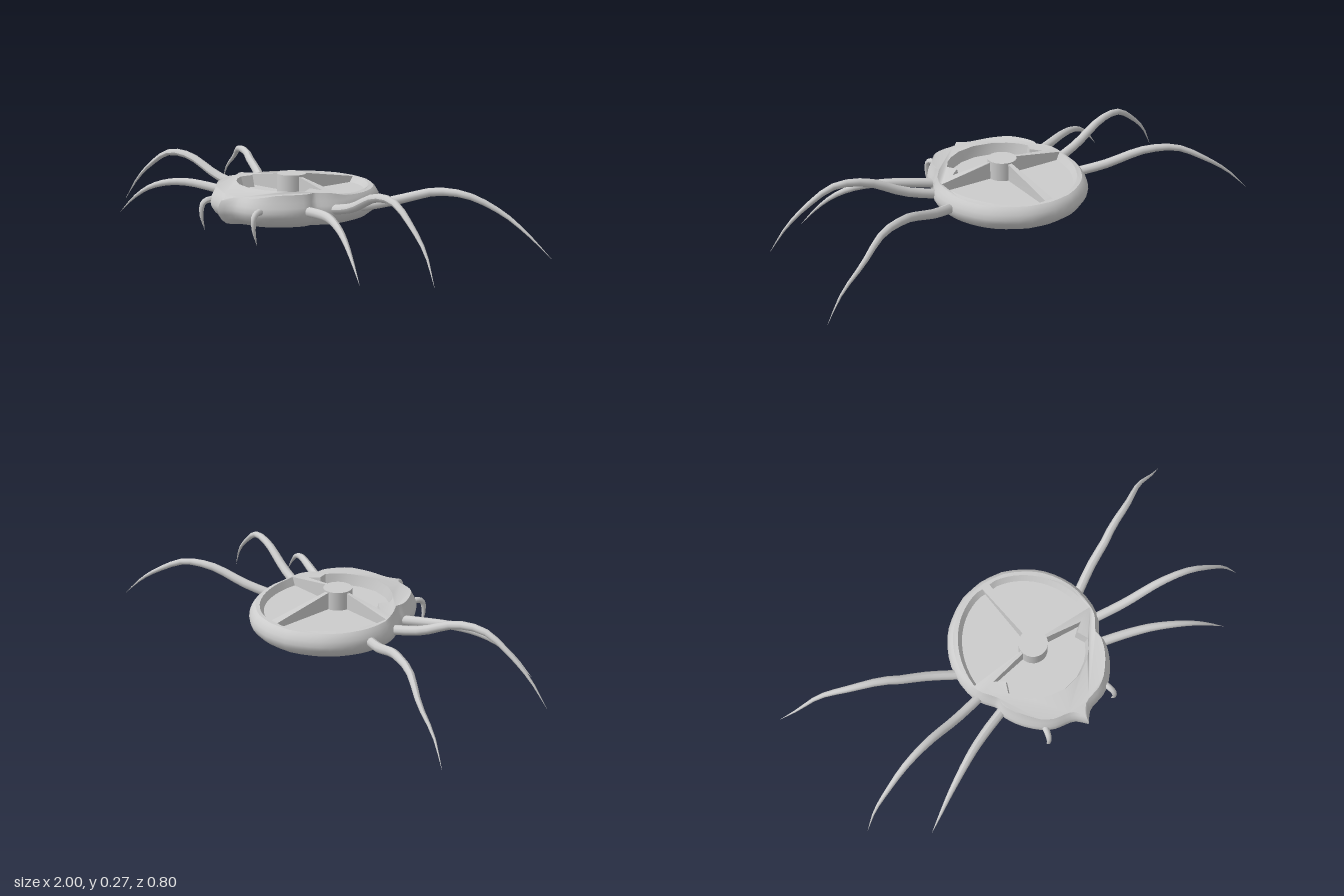
import * as THREE from 'three';
import { toCreasedNormals } from 'three/addons/utils/BufferGeometryUtils.js';

const material = new THREE.MeshStandardMaterial({ color: 0xcccccc });
const HUB = { z: 0.015, r: 0.06 };
const FLOOR = 0.163;
const clamp = THREE.MathUtils.clamp;
const v2 = (x, z) => new THREE.Vector2(x, z);

// Height of the upper shell: rises towards the hub, dips at the nose and rear
function topY(x, z) {
  const d = Math.hypot(x, z - HUB.z);
  const rim = 0.187 + 0.023 * THREE.MathUtils.smoothstep(z, -0.05, 0.08) - Math.max(0, z - 0.25) * 0.25;
  return Math.max(rim, 0.238 - 0.19 * Math.max(0, d - HUB.r));
}

// Plan points scaled about the hub
const scaled = (pts, s) => pts.map(p => v2(p.x * s, HUB.z + (p.y - HUB.z) * s));

// Half outline plus its mirror image (first and last points lie on x = 0)
const mirrored = half => [...half, ...half.slice(1, -1).reverse().map(p => v2(-p.x, p.y))];

// Closed loops of [x, y, z] joined by a strip, lowest loop first
function strip(loops) {
  const n = loops[0].length, index = [];
  for (let l = 0; l < loops.length - 1; l++) {
    for (let i = 0; i < n; i++) {
      const j = (i + 1) % n, a = l * n + i, b = l * n + j;
      index.push(a, a + n, b, b, a + n, b + n);
    }
  }
  const g = new THREE.BufferGeometry();
  g.setAttribute('position', new THREE.Float32BufferAttribute(loops.flat(2), 3));
  g.setIndex(index);
  return toCreasedNormals(g, 0.75);
}

// Horizontal sheet with holes, lifted by a height rule
function sheet(outline, holes, height) {
  const flip = pts => pts.map(p => v2(p.x, -p.y));
  const shape = new THREE.Shape(flip(outline));
  shape.holes = holes.map(h => new THREE.Path(flip(h)));
  const g = new THREE.ShapeGeometry(shape).rotateX(-Math.PI / 2);
  const p = g.attributes.position;
  for (let i = 0; i < p.count; i++) p.setY(i, height(p.getX(i), p.getZ(i)));
  g.computeVertexNormals();
  return g;
}

// Tapered tube ending in a point
function taperedTube(points, radius) {
  const curve = new THREE.CatmullRomCurve3(points.map(p => new THREE.Vector3(...p)));
  const segs = 16, sides = 10;
  const g = new THREE.TubeGeometry(curve, segs, radius, sides, false);
  const p = g.attributes.position, v = new THREE.Vector3();
  for (let i = 0; i < p.count; i++) {
    const t = Math.floor(i / (sides + 1)) / segs;
    const c = curve.getPointAt(t);
    v.fromBufferAttribute(p, i).sub(c).multiplyScalar(Math.max(0.01, 1 - t * t)).add(c);
    p.setXYZ(i, v.x, v.y, v.z);
  }
  g.computeVertexNormals();
  return g;
}

export function createModel() {
  const model = new THREE.Group();
  const add = (name, geometry, parent = model) => {
    const mesh = new THREE.Mesh(geometry, material);
    mesh.name = name;
    parent.add(mesh);
    return mesh;
  };

  // Plan outline: round rear, waist at the sides, pointed nose
  const half = new THREE.SplineCurve([
    [0, -0.365], [0.1, -0.35], [0.19, -0.3], [0.25, -0.245], [0.295, -0.17], [0.32, -0.09],
    [0.322, 0], [0.305, 0.06], [0.278, 0.1], [0.262, 0.125], [0.266, 0.155], [0.25, 0.2],
    [0.22, 0.25], [0.17, 0.305], [0.12, 0.335], [0.075, 0.345], [0.035, 0.358], [0, 0.397],
  ].map(p => v2(...p))).getPoints(34);
  half[0].x = half[half.length - 1].x = 0;
  const outline = mirrored(half);

  // Recesses: two rear sectors and one front fan
  const rear = [v2(0.008, -0.03), v2(0.018, -0.318)];
  for (let i = 1; i <= 16; i++) {
    const a = 0.062 + (Math.PI / 2 - 0.062) * i / 16;
    rear.push(v2(0.29 * Math.sin(a), 0.012 - 0.335 * Math.cos(a)));
  }
  rear.push(v2(0.03, 0.012));
  const front = mirrored([
    [0, 0.021], [0.03, 0.021], [0.22, 0.045], [0.18, 0.075], [0.2, 0.12],
    [0.175, 0.16], [0.14, 0.192], [0.08, 0.225], [0, 0.24],
  ].map(p => v2(...p)));
  const pits = { leftRearRecess: rear, rightRearRecess: rear.map(p => v2(-p.x, p.y)), frontRecess: front };

  // Shell
  const body = new THREE.Group();
  body.name = 'body';
  model.add(body);
  const level = (s, y) => scaled(outline, s).map(p => [p.x, y ?? topY(p.x, p.y), p.y]);
  add('shellSide', strip([
    level(0.82, 0.075), level(0.89, 0.083), level(0.95, 0.1), level(0.99, 0.122),
    level(1, 0.14), level(0.985, 0.16), level(0.955, 0.178), level(0.925),
  ]), body);
  add('shellTop', sheet(scaled(outline, 0.925), Object.values(pits), topY), body);
  const belly = sheet(scaled(outline, 0.82), [], () => 0);
  add('belly', belly.rotateZ(Math.PI).translate(0, 0.075, 0), body);

  // Recess walls and floors
  for (const [name, pts] of Object.entries(pits)) {
    const loop = THREE.ShapeUtils.area(pts) > 0 ? [...pts].reverse() : pts;
    const base = scaled(loop, 0.95);
    add(name + 'Wall', strip([
      base.map(p => [p.x, FLOOR, p.y]),
      loop.map(p => [p.x, topY(p.x, p.y), p.y]),
    ]), body);
    add(name + 'Floor', sheet(base, [], () => FLOOR), body);
  }

  // Central hub and the small boss beneath
  add('hub', new THREE.CylinderGeometry(HUB.r, HUB.r, 0.09, 24).translate(0, 0.196, HUB.z), body);
  add('bellyBoss', new THREE.CylinderGeometry(0.02, 0.02, 0.01, 16).translate(0, 0.077, HUB.z), body);

  // Limbs, mirrored on both sides
  const limbs = {
    RearLeg: [0.02, [[0.28, 0.13, -0.07], [0.42, 0.17, -0.145], [0.52, 0.205, -0.185], [0.58, 0.223, -0.215],
      [0.7, 0.22, -0.265], [0.82, 0.16, -0.332], [0.92, 0.09, -0.362], [1, 0.008, -0.4]]],
    MiddleLeg: [0.02, [[0.26, 0.135, 0.04], [0.42, 0.175, 0.075], [0.58, 0.245, 0.108], [0.7, 0.248, 0.135],
      [0.8, 0.19, 0.157], [0.89, 0.11, 0.177], [0.96, 0.004, 0.203]]],
    FrontLeg: [0.02, [[0.23, 0.138, 0.14], [0.36, 0.155, 0.185], [0.45, 0.162, 0.222], [0.54, 0.152, 0.265],
      [0.62, 0.122, 0.303], [0.69, 0.07, 0.335], [0.757, 0, 0.362]]],
    Fang: [0.014, [[0.145, 0.13, 0.27], [0.155, 0.148, 0.315], [0.163, 0.137, 0.345], [0.167, 0.09, 0.353],
      [0.167, 0.02, 0.337]]],
  };
  for (const [name, [radius, path]] of Object.entries(limbs)) {
    for (const [side, s] of [['left', 1], ['right', -1]]) {
      add(side + name, taperedTube(path.map(([x, y, z]) => [x * s, y, z]), radius));
    }
  }
  return model;
}
